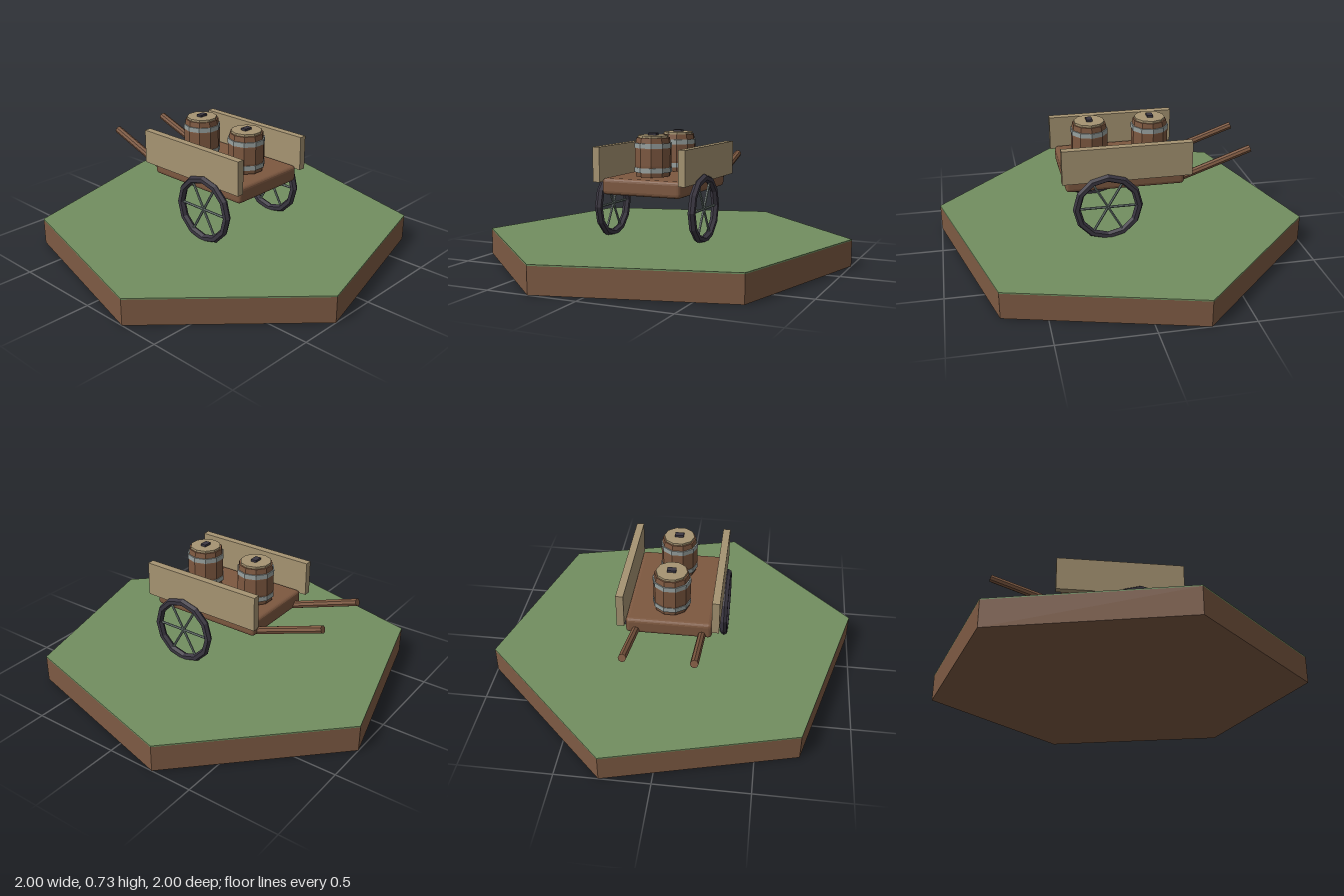
import * as THREE from 'three';
import { RoundedBoxGeometry } from 'three/addons/geometries/RoundedBoxGeometry.js';

const mat = (name, color) => {
  const m = new THREE.MeshStandardMaterial({ color, flatShading: true });
  m.name = name;
  return m;
};

export function createModel() {
  const model = new THREE.Group();
  model.name = 'barrelCart';
  const earth = mat('earth', 0x7d5a43);
  const grass = mat('grass', 0x728e60);
  const wood = mat('wood', 0x7d5840);
  const paleWood = mat('paleWood', 0xa69472);
  const darkIron = mat('darkIron', 0x3a3641);
  const steel = mat('steel', 0x98a19f);
  const spokeGrey = mat('spokeGrey', 0x6d7b76);

  const add = (parent, name, geometry, material, x = 0, y = 0, z = 0) => {
    const mesh = new THREE.Mesh(geometry, material);
    mesh.name = name;
    mesh.position.set(x, y, z);
    parent.add(mesh);
    return mesh;
  };

  // Hexagonal ground tile
  const hex = (h) => new THREE.CylinderGeometry(1.035, 1.035, h, 6, 1, false, Math.PI / 12);
  add(model, 'earthBase', hex(0.143), earth, 0, 0.0715, 0);
  add(model, 'grassTop', hex(0.007), grass, 0, 0.1465, 0);

  // Cart bed
  add(model, 'cartBed', new RoundedBoxGeometry(0.65, 0.09, 0.46, 2, 0.02), wood, 0, 0.446, 0);

  for (const side of [-1, 1]) {
    // Side boards
    add(model, 'sideBoard', new THREE.BoxGeometry(0.705, 0.19, 0.04), paleWood, -0.003, 0.565, side * 0.25);

    // Handles sloping up behind the bed
    const a = new THREE.Vector3(-0.29, 0.41, side * 0.177);
    const b = new THREE.Vector3(-0.706, 0.557, side * 0.177);
    const dir = b.clone().sub(a);
    const handle = add(model, 'handle', new THREE.CylinderGeometry(0.021, 0.021, dir.length(), 8), wood);
    handle.position.copy(a).lerp(b, 0.5);
    handle.quaternion.setFromUnitVectors(new THREE.Vector3(0, 1, 0), dir.normalize());

    // Wheels: twelve-sided rim with three full-width spoke bars
    const wheel = new THREE.Group();
    wheel.name = 'wheel';
    wheel.position.set(0.107, 0.324, side * 0.276);
    add(wheel, 'rim', new THREE.TorusGeometry(0.17, 0.021, 6, 12), darkIron);
    for (let i = 0; i < 3; i++) {
      const spoke = add(wheel, 'spoke', new THREE.CylinderGeometry(0.007, 0.007, 0.33, 6), spokeGrey);
      spoke.rotation.z = Math.PI / 2 + i * Math.PI / 3;
    }
    model.add(wheel);
  }

  // Barrels with two hoops, a lid and a plug
  const profile = [[0, 0], [0.094, 0], [0.101, 0.06], [0.101, 0.15], [0.092, 0.21], [0, 0.21]]
    .map(([r, y]) => new THREE.Vector2(r, y));
  for (const x of [-0.177, 0.16]) {
    const barrel = new THREE.Group();
    barrel.name = 'barrel';
    barrel.position.set(x, 0.497, 0);
    add(barrel, 'staves', new THREE.LatheGeometry(profile, 10), wood);
    for (const y of [0.036, 0.168]) {
      add(barrel, 'hoop', new THREE.CylinderGeometry(0.103, 0.103, 0.026, 10), steel, 0, y, 0);
    }
    add(barrel, 'lid', new THREE.CylinderGeometry(0.084, 0.084, 0.014, 10), paleWood, 0, 0.215, 0);
    add(barrel, 'plug', new THREE.BoxGeometry(0.032, 0.014, 0.048), darkIron, 0, 0.227, 0);
    model.add(barrel);
  }
  return model;
}
